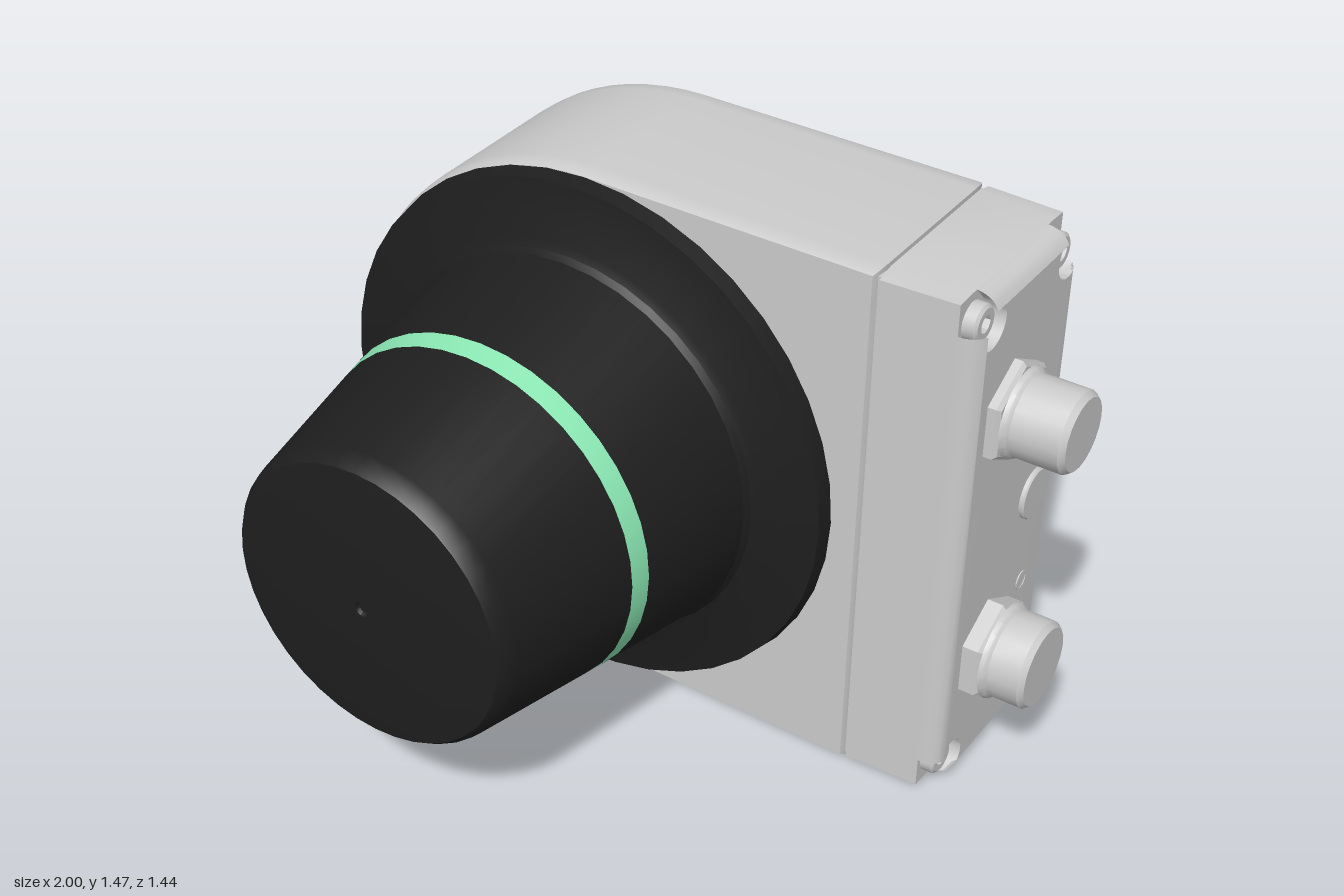
import * as THREE from 'three';
import { toCreasedNormals } from 'three/addons/utils/BufferGeometryUtils.js';

const CX = -0.265, CY = 0.737, R = 0.737; // axis of the round end
const grey = new THREE.MeshStandardMaterial({ color: 0xcccccc });
const black = new THREE.MeshStandardMaterial({ color: 0x1e1e1e });
const green = new THREE.MeshStandardMaterial({ color: 0x8be8b4 });

export function createModel() {
  const model = new THREE.Group();

  function add(name, geometry, material = grey, crease = 0.5) {
    const mesh = new THREE.Mesh(toCreasedNormals(geometry, crease), material);
    mesh.name = name;
    model.add(mesh);
    return mesh;
  }

  // Turned part: profile of [radius, height], height running along the given axis
  function turned(name, profile, axis, [x, y, z], segments = 24, material = grey, start = 0) {
    const g = new THREE.LatheGeometry(profile.map(p => new THREE.Vector2(...p)), segments, start);
    if (axis === 'x') g.rotateZ(-Math.PI / 2);
    if (axis === 'z') g.rotateX(Math.PI / 2);
    if (axis === '-z') g.rotateX(-Math.PI / 2);
    g.translate(x, y, z);
    return add(name, g, material);
  }

  // Main housing: D-shaped block with mounting holes
  const d = new THREE.Shape();
  d.moveTo(0.54, CY - R);
  d.lineTo(0.54, CY + R);
  d.lineTo(CX, CY + R);
  d.absarc(CX, CY, R, Math.PI / 2, Math.PI * 1.5, false);
  d.closePath();
  const roundHole = (y, r) => new THREE.Path().absarc(CX, y, r, 0, Math.PI * 2, true);
  const slot = new THREE.Path();
  slot.absarc(CX, 0.16, 0.022, Math.PI, 0, true);
  slot.absarc(CX, 0.12, 0.022, 0, -Math.PI, true);
  d.holes.push(roundHole(1.335, 0.022), roundHole(CY, 0.006), slot);
  const body = new THREE.ExtrudeGeometry(d, {
    depth: 0.42, curveSegments: 20, bevelThickness: 0.05, bevelSize: 0.01, bevelOffset: -0.01, bevelSegments: 2,
  });
  body.translate(0, 0, -0.66);
  add('housing', body);

  // Recessed seam between housing and end cap
  const seam = new THREE.BoxGeometry(0.04, 2 * R - 0.03, 0.49);
  seam.translate(0.542, CY, -0.45);
  add('seam', seam);

  // End cap: extruded along x, its sides drawn in towards a rounded outer rim
  const H = 0.735, W = 0.26, CZ = -0.45;
  function capPart(name, shape, x0, x1, steps) {
    const g = new THREE.ExtrudeGeometry(shape, { depth: x1 - x0, steps, bevelEnabled: false, curveSegments: 10 });
    g.rotateY(Math.PI / 2).translate(x0, CY, CZ);
    const p = g.attributes.position;
    for (let i = 0; i < p.count; i++) {
      const x = p.getX(i), t = Math.min(1, Math.max(0, (x - 0.75) / 0.06));
      const inset = 0.012 * (x - 0.548) / 0.26 + 0.045 * (1 - Math.sqrt(1 - t * t));
      p.setY(i, THREE.MathUtils.clamp(p.getY(i), CY - H + inset, CY + H - inset));
      p.setZ(i, THREE.MathUtils.clamp(p.getZ(i), CZ - W + inset, CZ + W - inset));
    }
    add(name, g, grey, 0.6);
  }
  const corners = [[1, 1], [-1, 1], [-1, -1], [1, -1]];
  const plain = new THREE.Shape([
    [W, -H + 0.012], [W, H - 0.012], [W - 0.05, H], [-W + 0.05, H],
    [-W, H - 0.012], [-W, -H + 0.012], [-W + 0.05, -H], [W - 0.05, -H],
  ].map(p => new THREE.Vector2(...p)));
  capPart('endCap', plain, 0.548, 0.75, 1);

  // Outer layer of the cap, with a screw pocket open at each corner
  const notched = new THREE.Shape();
  corners.forEach(([su, sv], i) => {
    const a = Math.PI / 4 + i * Math.PI / 2, r = 0.06, e = (0.07 - r * Math.SQRT1_2) * Math.SQRT2;
    const cu = su * (W - 0.07), cv = sv * (H - 0.08);
    const out = s => [
      cu + r * Math.cos(a + s * Math.PI / 2) + e * Math.cos(a),
      cv + r * Math.sin(a + s * Math.PI / 2) + e * Math.sin(a),
    ];
    const [u0, v0] = out(-1), [u1, v1] = out(1);
    const edge = (u, v, onSide) => onSide ? [su * W, v] : [u, sv * H];
    const first = edge(u0, v0, i % 2 === 0), last = edge(u1, v1, i % 2 === 1);
    if (i === 0) notched.moveTo(...first); else notched.lineTo(...first);
    notched.absarc(cu, cv, r, a - Math.PI / 2, a - Math.PI * 1.5, true);
    notched.lineTo(...last);
  });
  notched.closePath();
  capPart('endCapRim', notched, 0.75, 0.808, 5);

  // Cap screws with hexagonal sockets
  for (const [su, sv] of corners) {
    const pos = [0.745, CY + sv * (H - 0.08), CZ - su * (W - 0.07)];
    turned('capScrew', [[0.048, 0], [0.048, 0.035], [0.04, 0.042], [0.022, 0.042]], 'x', pos, 18);
    turned('capScrewSocket', [[0.024, 0.042], [0.02, 0.012], [0, 0.012]], 'x', pos, 6);
  }

  // Black flange and tapered hood with a green band
  const axis = [CX, CY, 0];
  turned('flange', [[0, -0.188], [0.728, -0.188], [0.72, -0.145], [0.57, -0.118], [0.548, -0.108], [0.538, -0.09]],
    'z', axis, 40, black);
  turned('lowerHood', [[0.538, -0.09], [0.481, 0.237]], 'z', axis, 40, black);
  turned('greenBand', [[0.481, 0.237], [0.471, 0.292]], 'z', axis, 40, green);
  turned('upperHood', [[0.471, 0.292], [0.405, 0.655], [0.398, 0.685], [0.383, 0.706], [0.29, 0.718], [0.02, 0.72],
    [0.016, 0.71], [0, 0.71]], 'z', axis, 40, black);

  // Two cable connectors: hexagonal nut and round plug
  for (const [y, nut, r, end] of [[1.1, 0.84, 0.105, 1.0], [0.385, 0.86, 0.118, 0.977]]) {
    const L = end - 0.8, n = nut - 0.8;
    const pos = [0.8, y, -0.39];
    turned('connectorNut', [[0.139, 0], [0.139, n - 0.01], [0.128, n], [0, n]], 'x', pos, 6, grey, Math.PI / 6);
    turned('connectorPlug', [[r + 0.012, n], [r + 0.008, n + 0.012], [r, n + 0.02], [r, L - 0.015],
      [r - 0.012, L], [0, L]], 'x', pos, 20);
  }

  // Vent plug and two small indicator rings
  turned('ventPlug', [[0.07, 0], [0.07, 0.014], [0.066, 0.018], [0, 0.018]], 'x', [0.803, 0.74, -0.58], 24);
  for (const y of [0.465, 0.297])
    turned('indicator', [[0.027, 0], [0.027, 0.003], [0.022, 0.003], [0.022, 0.001], [0, 0.001]], 'x',
      [0.808, y, -0.575], 16);

  // Mounting bosses on the back
  for (const [x, y] of [[0.165, 1.335], [0.165, 0.14], [-0.86, CY]]) {
    const pos = [x, y, -0.709];
    turned('mountingBoss', [[0.1, 0], [0.1, 0.011], [0.058, 0.011], [0.053, 0.003], [0.047, 0.003],
      [0.045, 0.008], [0.024, 0.008]], '-z', pos, 28);
    turned('bossSocket', [[0.026, 0.008], [0.024, 0.002], [0, 0.002]], '-z', pos, 6);
  }

  return model;
}
